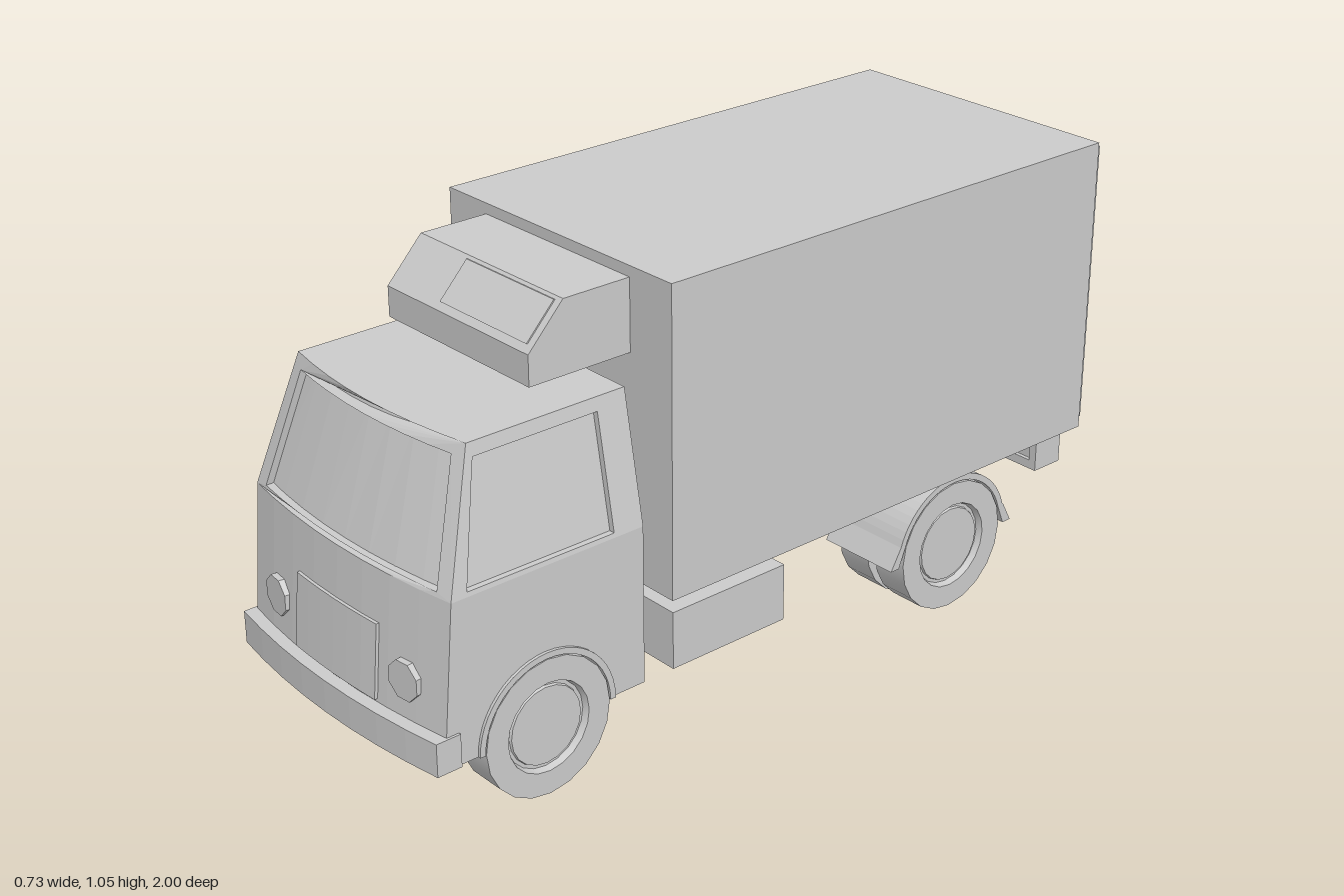
import * as THREE from 'three';
import { toCreasedNormals } from 'three/addons/utils/BufferGeometryUtils.js';

const SILL = 0.53, ROOF = 0.825, FRAME = 0.02;
const lerp = THREE.MathUtils.lerp;
const upper = (y) => Math.max(0, (y - SILL) / (ROOF - SILL));

// Cab surface rules: half width at a height, and the bowed front face (u = -1..1 across)
const halfW = (y) => lerp(0.345, 0.29, upper(y));
const frontZ = (u, y) =>
  (y <= SILL ? lerp(0.977, 0.945, (y - 0.16) / (SILL - 0.16)) : lerp(0.945, 0.855, upper(y))) - 0.03 * u * u;

const shapeOf = (pts) => new THREE.Shape(pts.map(([a, b]) => new THREE.Vector2(a, b)));

// Extrude a (z, y) side shape across x
function prism(shape, x0, x1, steps = 1) {
  const geo = new THREE.ExtrudeGeometry(shape, { depth: x1 - x0, steps, bevelEnabled: false, curveSegments: 12 });
  return geo.rotateY(-Math.PI / 2).translate(x1, 0, 0);
}

// Move every vertex by a rule
function warp(geo, rule) {
  const p = geo.attributes.position;
  for (let i = 0; i < p.count; i++) p.setXYZ(i, ...rule(p.getX(i), p.getY(i), p.getZ(i)));
  geo.computeVertexNormals();
  return geo;
}

// Half ring around a wheel, as a (z, y) shape
function archShape(z, y, outer, inner, foot = 0) {
  const s = new THREE.Shape();
  if (foot) s.moveTo(z - outer - foot, y).lineTo(z - outer + 0.005, y + 0.05);
  s.absarc(z, y, outer, Math.PI - (foot ? 0.3 : 0), foot ? 0.3 : 0, true);
  if (foot) s.lineTo(z + outer + foot, y).lineTo(z + outer + foot - 0.025, y);
  s.absarc(z, y, inner, foot ? 0.3 : 0, Math.PI - (foot ? 0.3 : 0), false);
  if (foot) s.lineTo(z - outer - foot + 0.025, y);
  return s;
}

export function createModel() {
  const model = new THREE.Group();
  const mat = new THREE.MeshStandardMaterial({ color: 0xcccccc });
  const add = (name, geo, parent = model) => {
    const mesh = new THREE.Mesh(geo, mat);
    mesh.name = name;
    parent.add(mesh);
    return mesh;
  };
  const box = (name, x0, x1, y0, y1, z0, z1, parent) =>
    add(name, new THREE.BoxGeometry(x1 - x0, y1 - y0, z1 - z0)
      .translate((x0 + x1) / 2, (y0 + y1) / 2, (z0 + z1) / 2), parent);
  const group = (name) => {
    const g = new THREE.Group();
    g.name = name;
    model.add(g);
    return g;
  };

  // Cargo body and rear door
  box('cargoBox', -0.367, 0.367, 0.342, 1.055, -0.912, 0.37);
  box('rearDoor', -0.355, 0.355, 0.36, 1.04, -0.93, -0.91);

  // Cooling unit over the cab, with its sloping cover plate
  add('coolingUnit', prism(shapeOf([[0.37, 0.865], [0.63, 0.865], [0.63, 0.935], [0.54, 1.03], [0.37, 1.03]]), -0.238, 0.238));
  add('coolingCover', prism(shapeOf([[0.612, 0.948], [0.62, 0.95], [0.549, 1.025], [0.541, 1.023]]), -0.067, 0.22));

  // Lower cab with wheel arches cut through, front bowed
  const cab = group('cab');
  const low = new THREE.Shape();
  low.moveTo(0.43, 0.16).lineTo(0.515, 0.16);
  low.absarc(0.69, 0.16, 0.175, Math.PI, 0, true);
  low.lineTo(0.97, 0.16).lineTo(0.97, SILL).lineTo(0.43, SILL);
  add('lowerCab', warp(prism(low, -1, 1, 8), (u, y, z) => [u * 0.345, y, z > 0.95 ? frontZ(u, y) : z]), cab);
  box('cabFloor', -0.25, 0.25, 0.161, 0.36, 0.505, 0.875, cab);

  // Glass core of the upper cab, set inside the window frames
  add('cabGlass', warp(prism(shapeOf([[0.43, SILL], [0.9, SILL], [0.9, ROOF], [0.43, ROOF]]), -1, 1, 8), (u, y, z) =>
    [u * (halfW(y) - 0.014), y, z > 0.8 ? frontZ(u, y) - 0.016 : z]), cab);

  // Windscreen frame: subdivided top and bottom edges follow the bow
  const band = (w, y0, y1) => {
    const us = Array.from({ length: 9 }, (_, i) => w * (i / 4 - 1));
    return [...us.map((u) => [u, y0]), ...us.reverse().map((u) => [u, y1])];
  };
  const screen = shapeOf(band(1, SILL, ROOF));
  screen.holes.push(shapeOf(band(0.885, 0.54, 0.797)));
  add('windscreenFrame', warp(
    new THREE.ExtrudeGeometry(screen, { depth: FRAME, bevelEnabled: false }),
    (u, y, z) => [u * halfW(y), y, frontZ(u, y) - FRAME + z]), cab);

  // Side window frames, leaning inwards
  const door = shapeOf([[0.43, SILL], [frontZ(1, SILL), SILL], [frontZ(1, ROOF), ROOF], [0.43, ROOF]]);
  door.holes.push(shapeOf([[0.505, 0.54], [0.875, 0.54], [0.815, 0.795], [0.505, 0.795]]));
  for (const s of [-1, 1]) {
    add(s > 0 ? 'leftWindowFrame' : 'rightWindowFrame', warp(prism(door, -FRAME / 2, FRAME / 2),
      (x, y, z) => [x + s * (halfW(y) - FRAME / 2), y, z]), cab);
  }

  // Grille plate and bumper follow the bowed front
  add('grille', warp(new THREE.BoxGeometry(0.286, 0.17, 0.014, 6).translate(0, 0.328, 0).toNonIndexed(),
    (x, y, z) => [x, y, z + frontZ(x / 0.345, y)]), cab);
  add('frontBumper', warp(new THREE.BoxGeometry(0.702, 0.077, 0.09, 8).translate(0, 0.197, 0).toNonIndexed(),
    (x, y, z) => [x, y, z > 0 ? 1 - 0.03 * (x / 0.351) ** 2 : 0.91]), cab);

  // Wheel, turned around the x axis
  const wheelGeo = toCreasedNormals(new THREE.LatheGeometry([
    [0, -0.015], [0.092, -0.015], [0.1, -0.045], [0.16, -0.045],
    [0.16, 0.045], [0.105, 0.045], [0.1, 0.03], [0.092, 0.03], [0.09, 0.036], [0, 0.036],
  ].map(([r, y]) => new THREE.Vector2(r, y)), 20).rotateZ(-Math.PI / 2), 0.6);
  const wheel = (name, x, z) => {
    const m = add(name, wheelGeo);
    m.position.set(x, 0.16, z);
    if (x < 0) m.rotation.y = Math.PI;
  };

  // Paired parts on both sides
  for (const s of [-1, 1]) {
    const span = (a, b) => (s > 0 ? [a, b] : [-b, -a]);

    const lamp = add('headlight', new THREE.CylinderGeometry(0.046, 0.046, 0.03, 8)
      .rotateY(Math.PI / 8).rotateX(Math.PI / 2).toNonIndexed(), cab);
    lamp.geometry.computeVertexNormals();
    lamp.position.set(s * 0.228, 0.322, 0.945);
    lamp.rotation.y = s * 0.1;

    wheel('frontWheel', s * 0.306, 0.69);
    wheel('rearOuterWheel', s * 0.306, -0.5);
    wheel('rearInnerWheel', s * 0.19, -0.5);

    add('frontFender', prism(archShape(0.69, 0.16, 0.176, 0.162), ...span(0.25, 0.352)));
    add('rearFender', prism(archShape(-0.5, 0.16, 0.178, 0.163, 0.022), ...span(0.14, 0.352)));

    box('sideTank', ...span(0.17, 0.345), 0.16, 0.297, 0.03, 0.35);

    // Tail lift arm and its bracket
    add('tailLiftArm', prism(shapeOf([[-0.925, 0.95], [-0.943, 0.94], [-1, 0.335], [-0.96, 0.345], [-0.925, 0.38]]), ...span(0.162, 0.228)));
    add('tailLiftBracket', prism(shapeOf([[-1, 0.337], [-0.885, 0.248], [-0.87, 0.285], [-0.96, 0.355]]), ...span(0.172, 0.218)));
  }

  // Chassis with tapering underside, and axles
  add('chassis', prism(shapeOf([
    [0.45, 0.161], [0.35, 0.161], [0.03, 0.19], [-0.88, 0.245], [-0.88, 0.345], [0.45, 0.345],
  ]), -0.135, 0.135));
  box('tankCrossmember', -0.2, 0.2, 0.22, 0.28, 0.12, 0.26);
  for (const z of [0.69, -0.5]) {
    add('axle', new THREE.CylinderGeometry(0.025, 0.025, 0.58, 10).rotateZ(Math.PI / 2).translate(0, 0.16, z));
  }

  // Rear bumper with light openings at both ends
  const rear = shapeOf([[-0.335, 0.248], [0.335, 0.248], [0.335, 0.344], [-0.335, 0.344]]);
  for (const x of [-0.28, 0.28]) {
    rear.holes.push(shapeOf([[x - 0.035, 0.27], [x + 0.035, 0.27], [x + 0.035, 0.322], [x - 0.035, 0.322]]));
  }
  add('rearBumper', new THREE.ExtrudeGeometry(rear, { depth: 0.085, bevelEnabled: false }).translate(0, 0, -0.885));
  box('rearLights', -0.325, 0.325, 0.26, 0.335, -0.868, -0.81);

  return model;
}
